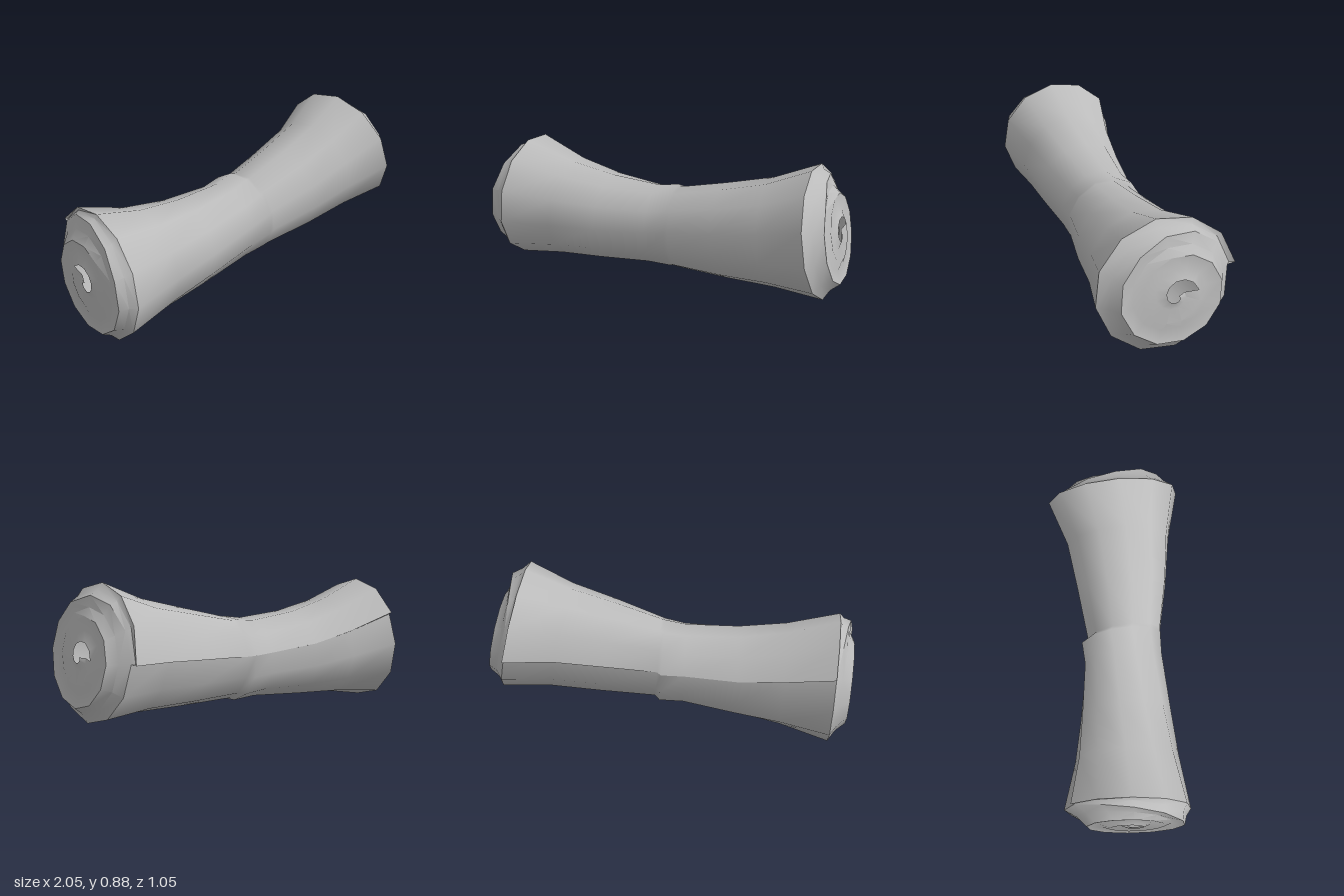
import * as THREE from 'three';
import { toCreasedNormals } from 'three/addons/utils/BufferGeometryUtils.js';

const SIDES = 12;

// Cross-sections of the roll: centre, radii, tilt of the plane (x per y, x per z),
// angle of the free edge and height of the step there
const ring = (x, y, z, ry, rz, sy, sz, seam, step) => ({ x, y, z, ry, rz, sy, sz, seam, step });
const RINGS = [
  ring(-0.868, 0.363, -0.2, 0.359, 0.336, 0, -0.227, 0.6, 0.06),
  ring(-0.6, 0.35, -0.133, 0.285, 0.28, 0, -0.18, 0.5, 0.03),
  ring(-0.35, 0.348, -0.077, 0.248, 0.25, 0, -0.14, 0.4, 0.02),
  ring(-0.06, 0.367, -0.015, 0.224, 0.222, -0.02, -0.1, 0.3, 0.02),
  ring(0.065, 0.38, 0.005, 0.235, 0.228, -0.06, -0.1, 0.25, 0.02),
  ring(0.085, 0.384, 0.028, 0.23, 0.21, -0.08, -0.1, 0.2, 0.02),
  ring(0.36, 0.432, 0.085, 0.26, 0.253, -0.17, -0.15, 0.15, 0.04),
  ring(0.62, 0.483, 0.13, 0.29, 0.288, -0.19, -0.16, 0.1, 0.07),
  ring(0.87, 0.54, 0.163, 0.346, 0.362, -0.22, -0.15, 0.05, 0.12),
];

// Radius of the coil after each further turn, and the groove profile across one turn
const COIL_RADIUS = [0.66, 0.3, 0];
const PROFILE = [[0, 0], [0.6, -0.015], [1, 0]];

function sample(list, t) {
  const i = Math.min(Math.floor(t), list.length - 2);
  return THREE.MathUtils.lerp(list[i], list[i + 1], t - i);
}

// Relative radius of the sheet: a raised free edge, then round, then tucking under it
function sheetRadius(r, t) {
  if (t > 1) return sample([1 - r.step * 0.75, ...COIL_RADIUS], t - 1);
  const lift = Math.max(0, 1 - t * 6) * 0.25;
  const tuck = Math.max(0, (t - 0.73) / 0.27) * 0.75;
  return 1 + r.step * (lift - tuck);
}

// Outward rise of the coil: level around the rim, then a quick step up to the inner turns
const coilRise = (t) =>
  0.09 * THREE.MathUtils.clamp((t - 1) * 3, 0, 1) + 0.01 * THREE.MathUtils.clamp(t - 2, 0, 1);

// Point on a tilted cross-section; turns are counted from the free edge, up over the top
function pointOn(r, turns, scale, offset = 0) {
  const a = r.seam + turns * Math.PI * 2;
  const dy = r.ry * scale * Math.sin(a);
  const dz = -r.rz * scale * Math.cos(a);
  return [r.x + r.sy * dy + r.sz * dz + offset, r.y + dy, r.z + dz];
}

// Surface through a grid of points
function surface(rows, cols, pointAt, flip = false) {
  const pos = [], index = [];
  for (let i = 0; i < rows; i++) for (let j = 0; j < cols; j++) pos.push(...pointAt(i, j));
  for (let i = 0; i < rows - 1; i++) {
    for (let j = 0; j < cols - 1; j++) {
      const a = i * cols + j, b = a + 1, c = a + cols, d = c + 1;
      if (flip) index.push(a, c, b, b, c, d);
      else index.push(a, b, c, b, d, c);
    }
  }
  const g = new THREE.BufferGeometry();
  g.setAttribute('position', new THREE.Float32BufferAttribute(pos, 3));
  g.setIndex(index);
  g.computeVertexNormals();
  return g;
}

// Coiled end of the roll, doming outward to the middle
function coiledEnd(r, dir) {
  const g = surface(PROFILE.length, SIDES * 3 + 1, (i, j) => {
    const t = j / SIDES, [p, h] = PROFILE[i];
    const scale = THREE.MathUtils.lerp(sheetRadius(r, t), sheetRadius(r, t + 1), p);
    const rise = THREE.MathUtils.lerp(coilRise(t), coilRise(t + 1), p);
    return pointOn(r, t, scale, dir * (rise + h));
  }, dir < 0);
  return toCreasedNormals(g, 0.6);
}

export function createModel() {
  const group = new THREE.Group();
  const grey = new THREE.MeshStandardMaterial({ color: 0xbbbbbb, side: THREE.DoubleSide });
  grey.name = 'grey';
  const add = (name, geometry) => {
    const mesh = new THREE.Mesh(geometry, grey);
    mesh.name = name;
    group.add(mesh);
  };

  // Outer sheet, wound once around the pinched roll
  add('outerSheet', surface(RINGS.length, SIDES + 1, (i, j) =>
    pointOn(RINGS[i], j / SIDES, sheetRadius(RINGS[i], j / SIDES))));

  // Step along the free edge of the sheet
  add('sheetEdge', surface(RINGS.length, 2, (i, j) =>
    pointOn(RINGS[i], 0, sheetRadius(RINGS[i], 1 - j))));

  // Coiled ends
  add('leftCoil', coiledEnd(RINGS[RINGS.length - 1], 1));
  add('rightCoil', coiledEnd(RINGS[0], -1));
  return group;
}
